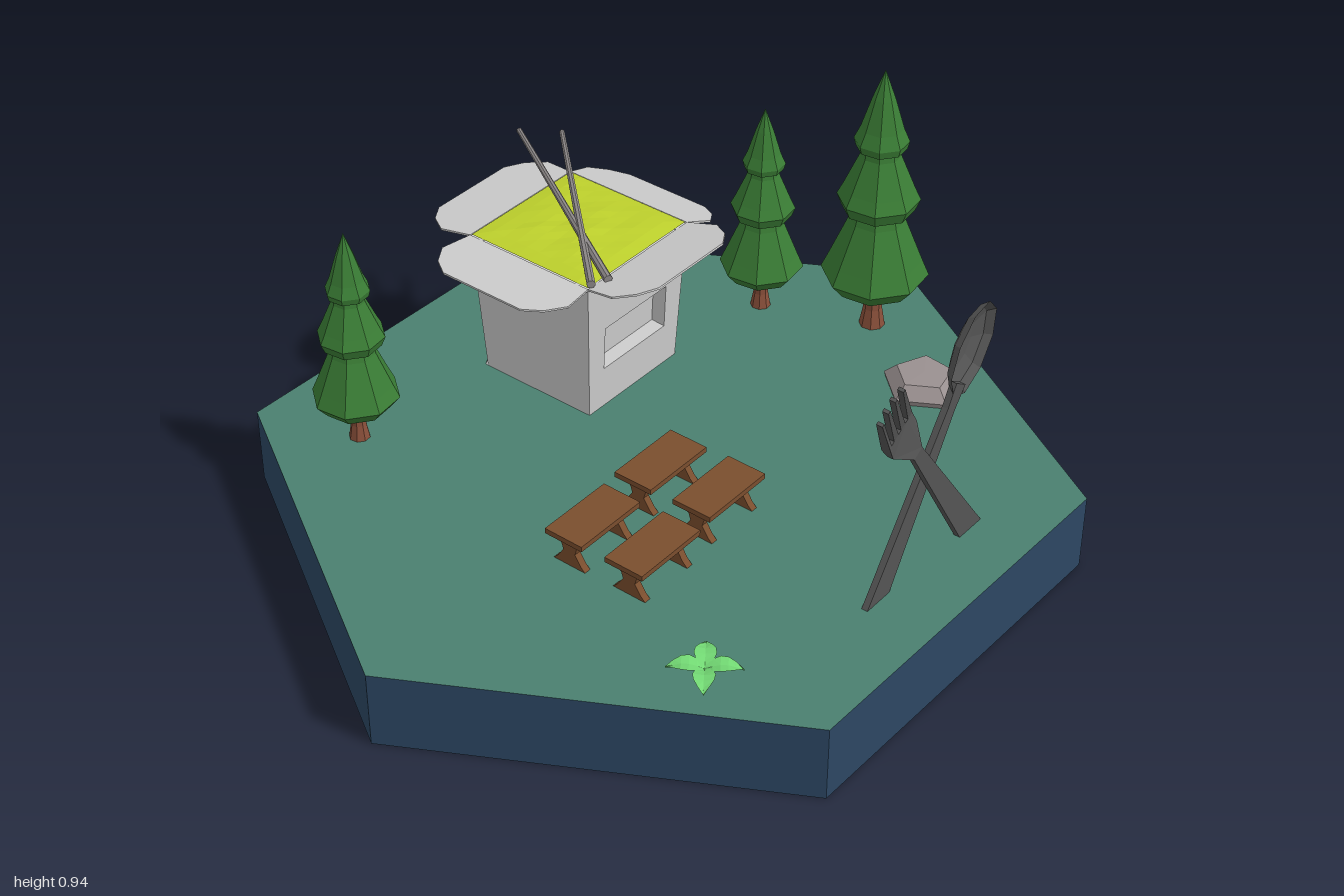
import * as THREE from 'three';

const mat = (color, extra = {}) => new THREE.MeshStandardMaterial({ color, flatShading: true, ...extra });
const M = {
  grass: mat(0x4a8070), soil: mat(0x2c4763), card: mat(0xcccccc, { side: THREE.DoubleSide }),
  noodle: mat(0xbdd02c, { side: THREE.DoubleSide }), stick: mat(0x8c8888), leaf: mat(0x3a7d35),
  bark: mat(0x8a503a), wood: mat(0x7a4e2e), steel: mat(0x555555, { side: THREE.DoubleSide }),
  rock: mat(0x9a9090), plant: mat(0x72d873, { side: THREE.DoubleSide }),
};
const GROUND = 0.2;
const TURN = -Math.PI / 6;

function add(parent, name, geo, material, x = 0, y = 0, z = 0) {
  const mesh = new THREE.Mesh(geo, material);
  mesh.name = name;
  mesh.position.set(x, y, z);
  parent.add(mesh);
  return mesh;
}
function group(parent, name, x = 0, y = 0, z = 0, ry = 0) {
  const g = new THREE.Group();
  g.name = name;
  g.position.set(x, y, z);
  g.rotation.y = ry;
  parent.add(g);
  return g;
}
const pts = (list) => list.map(([x, y]) => new THREE.Vector2(x, y));
const extrude = (shape, depth) => new THREE.ExtrudeGeometry(shape, { depth, bevelEnabled: false });
// Closed shape from its right half, mirrored across x = 0
const mirrored = (half) => new THREE.Shape(pts([...half, ...half.map(([x, y]) => [-x, y]).reverse()]));

// Three-tier conifer on a flared trunk
function tree(parent, x, z, s) {
  const g = group(parent, 'tree', x, GROUND, z);
  g.scale.setScalar(s);
  add(g, 'trunk', new THREE.LatheGeometry(pts([[0.026, 0], [0.019, 0.04], [0.017, 0.13]]), 8), M.bark);
  const profile = [[0, 0.11], [0.08, 0.095], [0.107, 0.128], [0.093, 0.16], [0.056, 0.25], [0.05, 0.275],
    [0.072, 0.275], [0.082, 0.3], [0.07, 0.325], [0.04, 0.395], [0.038, 0.41], [0.05, 0.412],
    [0.054, 0.428], [0.042, 0.455], [0.022, 0.52], [0, 0.58]];
  add(g, 'foliage', new THREE.LatheGeometry(pts(profile), 8), M.leaf);
}

// Food carton with a serving window, open flaps, noodles and chopsticks
function carton(parent) {
  const g = group(parent, 'carton', -0.26, GROUND, -0.35, TURN);
  const H = 0.386, bottom = 0.165, top = 0.185, thick = 0.04;
  const flapTilt = [0.03, 0.24, -0.36, -0.12];
  for (let i = 0; i < 4; i++) {
    const side = group(g, 'cartonSide', 0, 0, 0, i * Math.PI / 2);
    const shape = mirrored([[bottom, 0], [top, H]]);
    if (i === 1) shape.holes.push(new THREE.Path(pts([[-0.115, 0.115], [-0.115, 0.235], [0.115, 0.235], [0.115, 0.115]])));
    const wall = add(side, 'wall', extrude(shape, thick).translate(0, 0, -thick), M.card, 0, 0, bottom);
    wall.rotation.x = Math.atan((top - bottom) / H);
    if (i === 1) add(wall, 'windowPane', new THREE.BoxGeometry(0.25, 0.14, 0.01), M.card, 0, 0.175, -thick - 0.004);
    if (i === 3) add(wall, 'foldedCorner', extrude(new THREE.Shape(pts([[-bottom, 0], [bottom, 0], [0, 0.27]])), 0.008), M.card);
    const flap = add(side, 'flap', extrude(mirrored([[0.185, 0], [0.197, 0.085], [0.165, 0.135], [0.12, 0.165]]), 0.005),
      M.card, 0, H + 0.003, top);
    flap.rotation.x = Math.PI / 2 - flapTilt[i];
  }
  add(g, 'cartonFloor', new THREE.BoxGeometry(0.32, 0.01, 0.32), M.card, 0, 0.006, 0);

  const food = new THREE.PlaneGeometry(0.364, 0.364, 10, 10).rotateX(-Math.PI / 2);
  const p = food.attributes.position;
  for (let i = 0; i < p.count; i++) {
    const x = p.getX(i), z = p.getZ(i);
    const dome = Math.max(0, 1 - Math.max(Math.abs(x), Math.abs(z)) / 0.182);
    p.setY(i, 0.012 * Math.sqrt(dome) + 0.005 * dome * Math.sin(x * 47 + z * 21) * Math.cos(z * 39));
  }
  food.computeVertexNormals();
  add(g, 'noodles', food, M.noodle, 0, H + 0.004, 0);
}
function chopstick(parent, from, to) {
  const a = new THREE.Vector3(...from), b = new THREE.Vector3(...to);
  const m = add(parent, 'chopstick', new THREE.CylinderGeometry(0.011, 0.007, a.distanceTo(b), 8), M.stick);
  m.position.copy(a).add(b).multiplyScalar(0.5);
  m.quaternion.setFromUnitVectors(new THREE.Vector3(0, 1, 0), b.sub(a).normalize());
}

// Table with an hourglass leg panel at each end
function table(parent, x, z) {
  const g = group(parent, 'table', x, GROUND, z, TURN);
  add(g, 'tableTop', new THREE.BoxGeometry(0.107, 0.014, 0.206), M.wood, 0, 0.085, 0);
  const leg = mirrored([[0.046, 0], [0.034, 0.012], [0.017, 0.038], [0.022, 0.055], [0.044, 0.08]]);
  for (const s of [-1, 1]) add(g, 'tableLeg', extrude(leg, 0.018), M.wood, 0, 0, s * 0.075 - 0.009);
}

// Giant crossed fork and spoon
function cutlery(parent) {
  const g = group(parent, 'cutlery', 0.64, GROUND, 0.3, Math.PI / 3);
  const T = 0.016;

  const outline = [[-0.037, -0.03], [0.037, -0.03], [0.017, 0.44], [0.05, 0.5]];
  for (let i = 0; i < 4; i++) {
    const x = 0.043 - i * 0.0287;
    const tip = 0.715 - Math.abs(x) * 0.25;
    outline.push([x + 0.009, 0.54], [x + 0.004, tip], [x - 0.004, tip], [x - 0.009, 0.54]);
  }
  outline.push([-0.05, 0.5], [-0.017, 0.44]);
  const forkGeo = extrude(new THREE.Shape(pts(outline)), T).translate(0, 0, -T / 2);
  const p = forkGeo.attributes.position;
  for (let i = 0; i < p.count; i++) {
    const y = p.getY(i);
    if (y > 0.6) p.setZ(i, p.getZ(i) + 0.025);
    else if (y > 0.47) p.setZ(i, p.getZ(i) - 0.015);
  }
  forkGeo.computeVertexNormals();
  add(g, 'fork', forkGeo, M.steel, 0.167, 0, 0.008).rotation.z = 0.59;

  const spoon = group(g, 'spoon', -0.173, 0, -0.008);
  spoon.rotation.z = -0.56;
  add(spoon, 'spoonHandle', extrude(mirrored([[0.037, -0.03], [0.017, 0.46], [0.022, 0.52]]), T).translate(0, 0, -T / 2), M.steel);
  const bowl = new THREE.SphereGeometry(1, 9, 3, 0, Math.PI * 2, 0, Math.PI / 2)
    .rotateX(-Math.PI / 2).scale(0.068, 0.115, 0.038);
  add(spoon, 'spoonBowl', bowl, M.steel, 0, 0.6, 0.008);
}

// Low four-leaved plant with arching leaves
function plant(parent) {
  const g = group(parent, 'plant', 0.205, GROUND + 0.004, 0.735, 0.1);
  for (let i = 0; i < 4; i++) {
    const leaf = new THREE.PlaneGeometry(1, 1, 2, 5).rotateX(-Math.PI / 2);
    const p = leaf.attributes.position;
    for (let j = 0; j < p.count; j++) {
      const t = p.getZ(j) + 0.5;
      const w = 0.012 + 0.044 * Math.sin(Math.PI * Math.pow(t, 0.9)) - 0.012 * t;
      const side = p.getX(j);
      p.setXYZ(j, side * w, 0.004 + 0.014 * Math.sin(Math.PI * t) + Math.abs(side) * 0.008, t * 0.085);
    }
    leaf.computeVertexNormals();
    add(g, 'plantLeaf', leaf, M.plant).rotation.y = i * Math.PI / 2;
  }
}

export function createModel() {
  const model = new THREE.Group();
  model.name = 'picnicIsland';

  // Hexagonal ground slab
  const slab = new THREE.CylinderGeometry(1, 1, GROUND, 6).rotateY(Math.PI / 6 - 0.013);
  add(model, 'ground', slab, [M.soil, M.grass, M.soil], 0, GROUND / 2, 0);

  tree(model, -0.73, 0.04, 1);
  tree(model, 0.15, -0.66, 1);
  tree(model, 0.44, -0.62, 1.27);

  carton(model);
  chopstick(model, [-0.48, 0.625, -0.72], [-0.15, 0.6, -0.13]);
  chopstick(model, [-0.37, 0.63, -0.72], [-0.185, 0.602, -0.1]);

  for (const [x, z] of [[0.016, 0.136], [0.163, 0.214], [-0.104, 0.36], [0.045, 0.438]]) table(model, x, z);

  cutlery(model);
  plant(model);

  // Five-sided boulder
  const rock = new THREE.LatheGeometry(pts([[0.1, 0], [0.105, 0.014], [0.072, 0.045], [0, 0.046]]), 5);
  add(model, 'rock', rock, M.rock, 0.59, GROUND, -0.365).rotation.y = Math.PI;
  return model;
}
